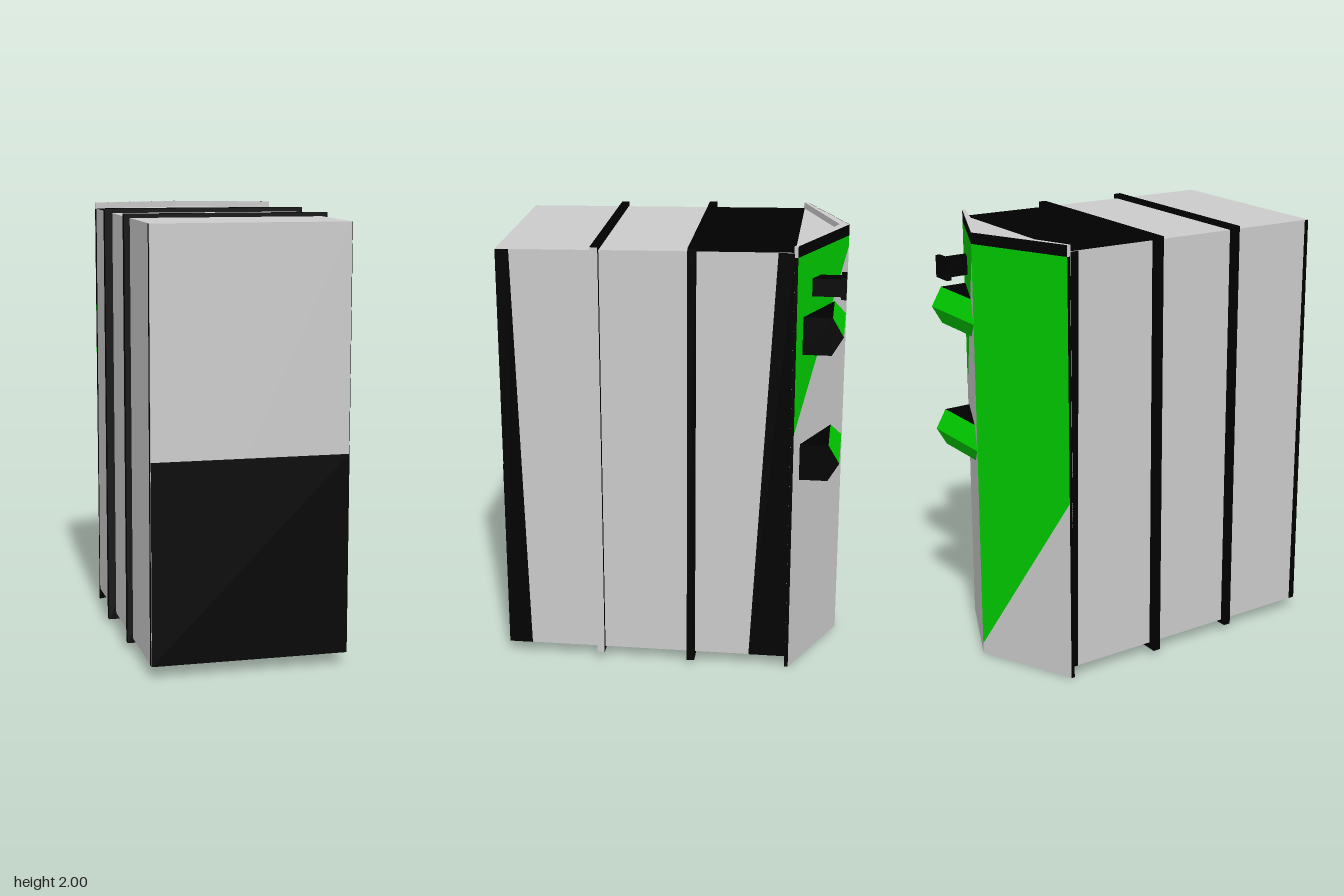
import * as THREE from 'three';

export function createModel() {
  const group = new THREE.Group();
  const mat = (color) => new THREE.MeshStandardMaterial({ color, flatShading: true, side: THREE.DoubleSide });
  const grey = mat(0xcccccc), black = mat(0x000000), green = mat(0x00cc00);

  function add(name, geometry, material) {
    const mesh = new THREE.Mesh(geometry, material);
    mesh.name = name;
    group.add(mesh);
    return mesh;
  }

  // Box given by its minimum and maximum corners
  function box(name, [x0, y0, z0], [x1, y1, z1], material) {
    const g = new THREE.BoxGeometry(x1 - x0, y1 - y0, z1 - z0);
    g.translate((x0 + x1) / 2, (y0 + y1) / 2, (z0 + z1) / 2);
    return add(name, g, material);
  }

  const extrude = (pts, depth) => new THREE.ExtrudeGeometry(
    new THREE.Shape(pts.map(([a, b]) => new THREE.Vector2(a, b))), { depth, bevelEnabled: false });

  // Upright prism over an (x, z) outline
  function prism(name, outline, y0, y1, material) {
    const g = extrude(outline.map(([x, z]) => [x, -z]), y1 - y0);
    g.rotateX(-Math.PI / 2).translate(0, y0, 0);
    add(name, g, material);
  }

  // Flat four-cornered colour field lying on a surface
  function patch(name, corners, material, flip = false) {
    const g = new THREE.BufferGeometry();
    g.setAttribute('position', new THREE.Float32BufferAttribute(corners.flat(), 3));
    g.setIndex(flip ? [0, 2, 1, 0, 3, 2] : [0, 1, 2, 0, 2, 3]);
    g.computeVertexNormals();
    add(name, g, material);
  }

  // The roof rises slightly toward the back
  function slopeTop(mesh) {
    const p = mesh.geometry.attributes.position;
    for (let i = 0; i < p.count; i++) {
      if (p.getY(i) > 1) p.setY(i, 1.964 - 0.0154 * p.getZ(i));
    }
    mesh.geometry.computeVertexNormals();
  }

  // Body in two sections; face order is +x, -x, +y, -y, +z, -z
  slopeTop(box('frontBody', [-0.44, 0.055, -0.1], [0.44, 1.96, 0.757],
    [grey, grey, grey, black, grey, grey]));
  slopeTop(box('rearBody', [-0.44, 0.055, -0.54], [0.44, 1.96, -0.1],
    [grey, grey, black, black, grey, grey]));
  const nose = [[-0.44, -0.54], [0.44, -0.54], [0, -0.715]];
  prism('rearNose', nose, 0.06, 1.972, grey);
  prism('rearNoseBase', nose, 0.055, 0.06, black);

  // Dark lower half of the front
  patch('frontLowerField', [[-0.44, 0.055, 0.759], [0.44, 0.055, 0.759],
    [0.44, 0.95, 0.759], [-0.44, 0.95, 0.759]], black);

  // Bands wrapped around the body
  box('frontBand', [-0.465, 0.035, 0.303], [0.465, 1.977, 0.338],
    [grey, black, black, black, black, black]);
  box('rearBand', [-0.475, 0.025, -0.12], [0.475, 1.985, -0.085], black);

  // Each side: dark edge strips (widths at bottom and top) and an angled rear
  // panel, green above a slanting line (heights at the ridge and outer edge)
  const sides = [
    { name: 'left', s: 1, front: [0.107, 0.06], rear: [0.17, 0.07], split: [1.9, 1.15] },
    { name: 'right', s: -1, front: [0.03, 0.02], rear: [0.02, 0.04], split: [0.05, 0.85] },
  ];
  for (const { name, s, front, rear, split } of sides) {
    const x = s * 0.442;
    patch(name + 'FrontStrip', [[x, 0.055, 0.757], [x, 0.055, 0.757 - front[0]],
      [x, 1.952, 0.757 - front[1]], [x, 1.952, 0.757]], black, s < 0);
    patch(name + 'RearStrip', [[x, 0.055, -0.54 + rear[0]], [x, 0.055, -0.54],
      [x, 1.97, -0.54], [x, 1.97, -0.54 + rear[1]]], black, s < 0);

    const outline = [[0, -0.757], [s * 0.44, -0.552], [s * 0.44, -0.537], [0, -0.715]];
    prism(name + 'RearPanel', outline, 0, 1.95, black);
    prism(name + 'PanelRim', outline, 1.95, 2, grey);

    // Outer faces of the panel, from the ridge to the outer edge
    const field = (part, low, high, material) => patch(name + part, [
      [0, low[0], -0.759], [s * 0.44, low[1], -0.554],
      [s * 0.44, high[1], -0.554], [0, high[0], -0.759]], material, s > 0);
    field('PanelLowerField', [0, 0], split, grey);
    field('PanelUpperField', split, [1.95, 1.95], green);
    field('RimFace', [1.95, 1.95], [2, 2], black);
  }

  // Pointed blocks on the left rear panel
  for (const [name, y] of [['upper', 1.59], ['lower', 1.003]]) {
    const h = 0.085;
    box(name + 'Block', [0, y - h, -0.707], [0.385, y + h, -0.573], black);
    const wedge = extrude([[0.707, y - h], [0.757, y], [0.707, y + h]], 0.385);
    wedge.rotateY(Math.PI / 2);
    add(name + 'BlockPoint', wedge, [black, green]);
  }

  // Square knob above the blocks
  box('knobStem', [0.245, 1.75, -0.737], [0.315, 1.83, -0.607], black);
  box('knobCap', [0.228, 1.74, -0.76], [0.325, 1.84, -0.737], black);

  return group;
}
